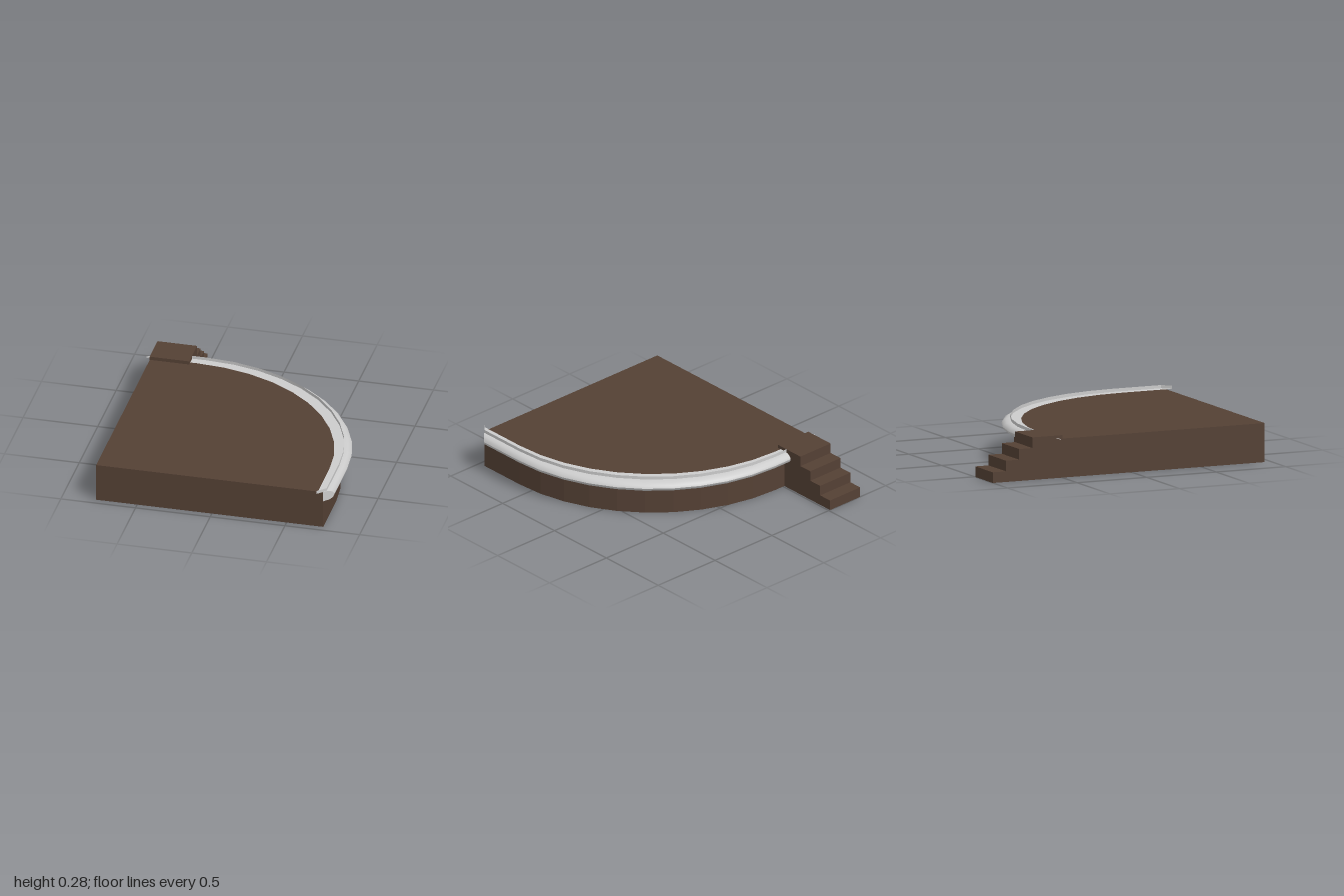
import * as THREE from 'three';
import { toCreasedNormals } from 'three/addons/utils/BufferGeometryUtils.js';

const DECK = 0.257, TOP = 0.28;

// Inner rail line as [x, z]: straight, quarter arc in ten chords, straight
function railPath() {
  const pts = [[0.71, 0.99]];
  for (let i = 0; i <= 10; i++) {
    const a = (i / 10) * Math.PI / 2;
    pts.push([-0.465 + 1.175 * Math.cos(a), 0.65 - 1.175 * Math.sin(a)]);
  }
  pts.push([-0.81, -0.525]);
  return pts;
}

// Carries a profile of [u, y] along the path; u always runs diagonally to +x -z.
// Convex ends are closed where asked.
function sweep(path, profile, closeStart, closeEnd, capProfile = profile) {
  const pos = [];
  const at = ([x, z], [u, y]) => [x + u, y, z - u];
  const tri = (a, b, c) => pos.push(...a, ...b, ...c);
  for (let i = 0; i < path.length - 1; i++) {
    for (let j = 0; j < profile.length - 1; j++) {
      const a = at(path[i], profile[j]), b = at(path[i], profile[j + 1]);
      const c = at(path[i + 1], profile[j + 1]), d = at(path[i + 1], profile[j]);
      tri(a, b, c);
      tri(a, c, d);
    }
  }
  const first = path[0], last = path[path.length - 1];
  for (let j = 1; j < capProfile.length - 1; j++) {
    const [p, q, r] = [capProfile[0], capProfile[j], capProfile[j + 1]];
    if (closeStart) tri(at(first, p), at(first, r), at(first, q));
    if (closeEnd) tri(at(last, p), at(last, q), at(last, r));
  }
  const geo = new THREE.BufferGeometry();
  geo.setAttribute('position', new THREE.Float32BufferAttribute(pos, 3));
  geo.computeVertexNormals();
  return toCreasedNormals(geo, 0.6);
}

export function createModel() {
  const group = new THREE.Group();
  const brown = new THREE.MeshStandardMaterial({ color: 0x544034 });
  const grey = new THREE.MeshStandardMaterial({ color: 0xcccccc, side: THREE.DoubleSide });
  const add = (name, geo, mat) => {
    const mesh = new THREE.Mesh(geo, mat);
    mesh.name = name;
    group.add(mesh);
  };
  const path = railPath();

  // Quarter-round platform, its wall set under the rail
  const outline = path.map(([x, z]) => new THREE.Vector2(x + 0.035, -(z - 0.035)));
  outline.push(new THREE.Vector2(-0.775, -0.955));
  const platform = new THREE.ExtrudeGeometry(new THREE.Shape(outline), { depth: DECK, bevelEnabled: false });
  platform.rotateX(-Math.PI / 2);
  add('platform', platform, brown);

  // Rounded nosing hanging outside the wall
  add('nosing', sweep(path, [
    [0.035, DECK], [0.055, DECK], [0.075, 0.25], [0.09, 0.238], [0.096, 0.223],
    [0.091, 0.207], [0.08, 0.196], [0.065, 0.19], [0.035, 0.19],
  ], true, true), grey);

  // Flat inner ledge with a low upright lip, closed at the front end
  const ledge = DECK + 0.002;
  add('ledgeAndLip', sweep(path, [[0, ledge], [0.053, ledge], [0.053, TOP]], true, false,
    [[0, ledge], [0, TOP], [0.053, TOP], [0.053, ledge]]), grey);

  // Stairs, cut as one stepped side profile (z, y) and extruded across x
  const side = new THREE.Shape();
  side.moveTo(-0.5, 0).lineTo(-1, 0);
  for (let i = 0; i < 4; i++) {
    const z = -1 + i * 0.095, y = (i + 1) * TOP / 4;
    side.lineTo(z, y);
    side.lineTo(i < 3 ? z + 0.095 : -0.5, y);
  }
  side.closePath();
  const stairs = new THREE.ExtrudeGeometry(side, { depth: 0.265, bevelEnabled: false });
  stairs.rotateY(-Math.PI / 2);
  stairs.translate(-0.511, 0, 0);
  add('stairs', stairs, brown);

  return group;
}
